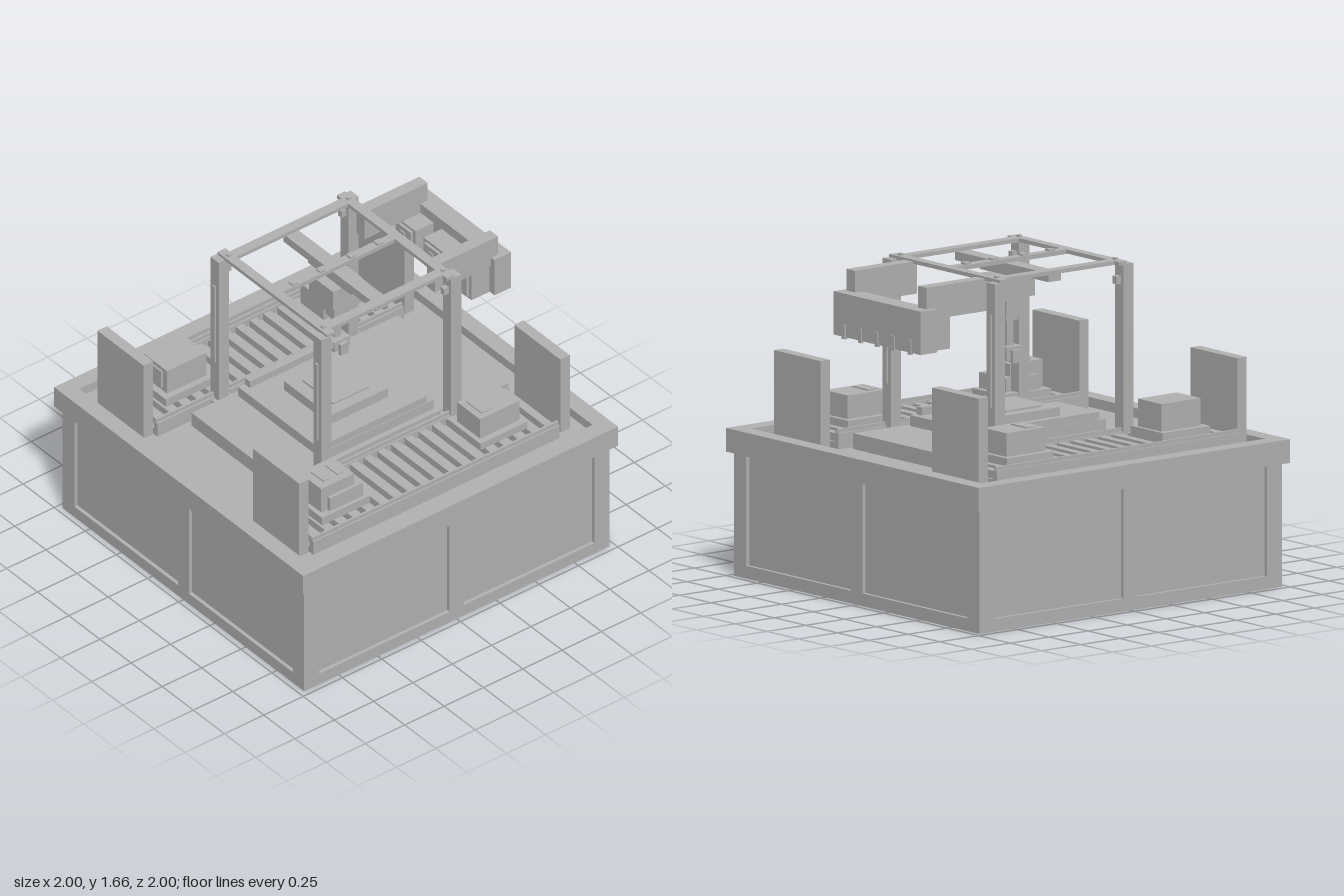
import * as THREE from 'three';

export function createModel() {
  const root = new THREE.Group();
  const grey = new THREE.MeshStandardMaterial({ color: 0xb3b3b3 });

  // Box given by its extents on each axis
  function box(name, x0, x1, y0, y1, z0, z1, parent = root) {
    const m = new THREE.Mesh(new THREE.BoxGeometry(x1 - x0, y1 - y0, z1 - z0), grey);
    m.position.set((x0 + x1) / 2, (y0 + y1) / 2, (z0 + z1) / 2);
    m.name = name;
    parent.add(m);
    return m;
  }
  // Box centred on x = 0 and z = cz
  const centred = (name, hx, y0, y1, hz, parent = root, cz = 0) =>
    box(name, -hx, hx, y0, y1, cz - hz, cz + hz, parent);
  function group(name) {
    const g = new THREE.Group();
    g.name = name;
    root.add(g);
    return g;
  }

  // Cabinet base with two framed panels on each side
  const base = group('base');
  centred('baseCore', 0.95, 0, 0.68, 0.95, base);
  for (let i = 0; i < 4; i++) {
    const side = new THREE.Group();
    side.name = 'baseSide';
    side.rotation.y = i * Math.PI / 2;
    base.add(side);
    const s = new THREE.Shape([[-0.97, 0], [0.97, 0], [0.97, 0.65], [-0.97, 0.65]].map(p => new THREE.Vector2(...p)));
    for (const [a, b] of [[-0.875, -0.045], [0.045, 0.875]])
      s.holes.push(new THREE.Path([[a, 0.065], [a, 0.64], [b, 0.64], [b, 0.065]].map(p => new THREE.Vector2(...p))));
    const frame = new THREE.Mesh(new THREE.ExtrudeGeometry(s, { depth: 0.02, bevelEnabled: false }), grey);
    frame.position.z = 0.95;
    frame.name = 'panelFrame';
    side.add(frame);
  }

  // Overhanging rim around a sunken worktop
  const top = group('worktop');
  centred('worktopFloor', 0.92, 0.635, 0.70, 0.92, top);
  for (const s of [-1, 1]) {
    centred('rimEnd', 1, 0.63, 0.75, 0.045, top, s * 0.955);
    const r = centred('rimSide', 0.045, 0.63, 0.75, 0.91, top);
    r.position.x = s * 0.955;
  }

  // Roller conveyors with guide rails and end panels
  for (const s of [-1, 1]) {
    const c = group(s > 0 ? 'leftConveyor' : 'rightConveyor');
    const strip = (name, a, b, y0, y1, z0, z1) =>
      box(name, Math.min(s * a, s * b), Math.max(s * a, s * b), y0, y1, z0, z1, c);
    strip('conveyorBed', 0.43, 0.82, 0.70, 0.735, -0.755, 0.81);
    strip('outerRail', 0.812, 0.842, 0.70, 0.78, -0.755, 0.81);
    strip('outerRailLip', 0.822, 0.834, 0.78, 0.80, -0.755, 0.81);
    strip('innerRail', 0.41, 0.44, 0.70, 0.78, -0.755, 0.81);
    strip('innerRailLip', 0.42, 0.432, 0.78, 0.80, -0.755, 0.81);
    for (let i = 0; i < 18; i++) {
      const z = -0.72 + i * 0.0873;
      strip('roller', 0.442, 0.805, 0.73, 0.775, z - 0.022, z + 0.022);
    }
    strip('backEndPanel', 0.44, 0.81, 0.70, 1.155, -0.845, -0.785);
    strip('frontEndPanel', 0.44, 0.81, 0.70, 1.155, 0.815, 0.875);

    // Back carton on its pallet
    strip('pallet', 0.50, 0.755, 0.775, 0.815, -0.62, -0.32);
    strip('carton', 0.535, 0.72, 0.815, 0.935, -0.62 + 0.025, -0.345);
    strip('cartonLabel', 0.565, 0.69, 0.935, 0.942, -0.44, -0.38);
    // Front load: a carton on one side, a stepped fixture on the other
    strip('pallet', 0.50, 0.755, 0.775, 0.82, 0.38, 0.685);
    if (s < 0) {
      strip('carton', 0.535, 0.72, 0.82, 0.96, 0.40, 0.65);
      strip('cartonTab', 0.57, 0.69, 0.84, 0.94, 0.65, 0.66);
    } else {
      strip('fixture', 0.54, 0.715, 0.82, 0.965, 0.45, 0.66);
      strip('fixtureStep', 0.52, 0.735, 0.82, 0.90, 0.41, 0.62);
      for (const z of [0.505, 0.595]) strip('fixturePad', 0.575, 0.675, 0.965, 0.972, z - 0.02, z + 0.02);
    }
  }

  // Stepped work bed in the middle
  const bed = group('workBed');
  box('bedPlate', -0.375, 0.375, 0.70, 0.78, -0.69, 0.62, bed);
  centred('bedStep', 0.345, 0.78, 0.835, 0.35, bed);
  for (const s of [-1, 1])
    box('bedRail', s * 0.32 - 0.02, s * 0.32 + 0.02, 0.835, 0.875, -0.31, 0.31, bed);
  centred('bedBlock', 0.185, 0.835, 0.89, 0.185, bed);
  centred('bedPad', 0.125, 0.89, 0.90, 0.115, bed);

  // Gantry posts, feet, guide strips and sensors
  const gantry = group('gantry');
  for (const sx of [-1, 1]) for (const sz of [-1, 1]) {
    const part = (name, w, h, d, x, y, z) =>
      box(name, sx * x - w / 2, sx * x + w / 2, y - h / 2, y + h / 2, sz * z - d / 2, sz * z + d / 2, gantry);
    part('post', 0.065, 0.93, 0.065, 0.412, 1.165, 0.412);
    part('postFoot', 0.11, 0.07, 0.11, 0.412, 0.735, 0.412);
    part('guideStrip', 0.02, 0.47, 0.01, 0.412, 1.235, 0.449);
    part('sensor', 0.03, 0.04, 0.03, 0.412, 1.55, 0.365);
    part('cornerBolt', 0.02, 0.012, 0.02, 0.38, 1.65, 0.38);
  }
  // Top frame and crossbars
  for (const s of [-1, 1]) {
    centred('frameEnd', 0.44, 1.625, 1.645, 0.026, gantry, s * 0.38);
    const b = centred('frameSide', 0.028, 1.625, 1.645, 0.405, gantry);
    b.position.x = s * 0.378;
  }
  centred('crossBeam', 0.37, 1.58, 1.625, 0.04, gantry);
  centred('longBar', 0.024, 1.622, 1.645, 0.36, gantry);
  for (const z of [-0.27, -0.095, 0.095, 0.27]) centred('barBolt', 0.018, 1.645, 1.655, 0.018, gantry, z);

  // Hoist and gripper
  const hoist = group('hoist');
  centred('hoistPlate', 0.175, 1.565, 1.58, 0.04, hoist);
  centred('hoistBody', 0.095, 1.455, 1.565, 0.095, hoist);
  centred('hoistNeck', 0.05, 1.365, 1.455, 0.05, hoist);
  centred('hoistCollar', 0.033, 1.33, 1.365, 0.04, hoist);
  centred('shaft', 0.018, 1.19, 1.33, 0.02, hoist);
  centred('gripperBody', 0.05, 1.14, 1.20, 0.05, hoist);
  centred('gripperTip', 0.025, 1.125, 1.18, 0.025, hoist);
  for (const s of [-1, 1]) box('finger', s * 0.06 - 0.01, s * 0.06 + 0.01, 1.12, 1.185, -0.025, 0.025, hoist);

  // Rear scanner cabinet carried on two arms
  const scanner = group('scanner');
  for (const s of [-1, 1])
    box('scannerArm', s * 0.283 - 0.033, s * 0.283 + 0.033, 1.47, 1.635, -0.78, -0.38, scanner);
  box('scannerCabinet', -0.345, 0.345, 1.305, 1.525, -0.84, -0.735, scanner);
  for (const x of [-0.225, 0, 0.225]) {
    box('scannerUnit', x - 0.08, x + 0.08, 1.305, 1.47, -0.74, -0.62, scanner);
    box('lensFrame', x - 0.06, x + 0.06, 1.32, 1.455, -0.62, -0.605, scanner);
    box('lens', x - 0.017, x + 0.017, 1.355, 1.43, -0.605, -0.598, scanner);
  }
  for (let i = 0; i < 5; i++) {
    const x = -0.26 + i * 0.13;
    box('ventStrip', x - 0.012, x + 0.012, 1.295, 1.37, -0.847, -0.83, scanner);
  }

  return root;
}
